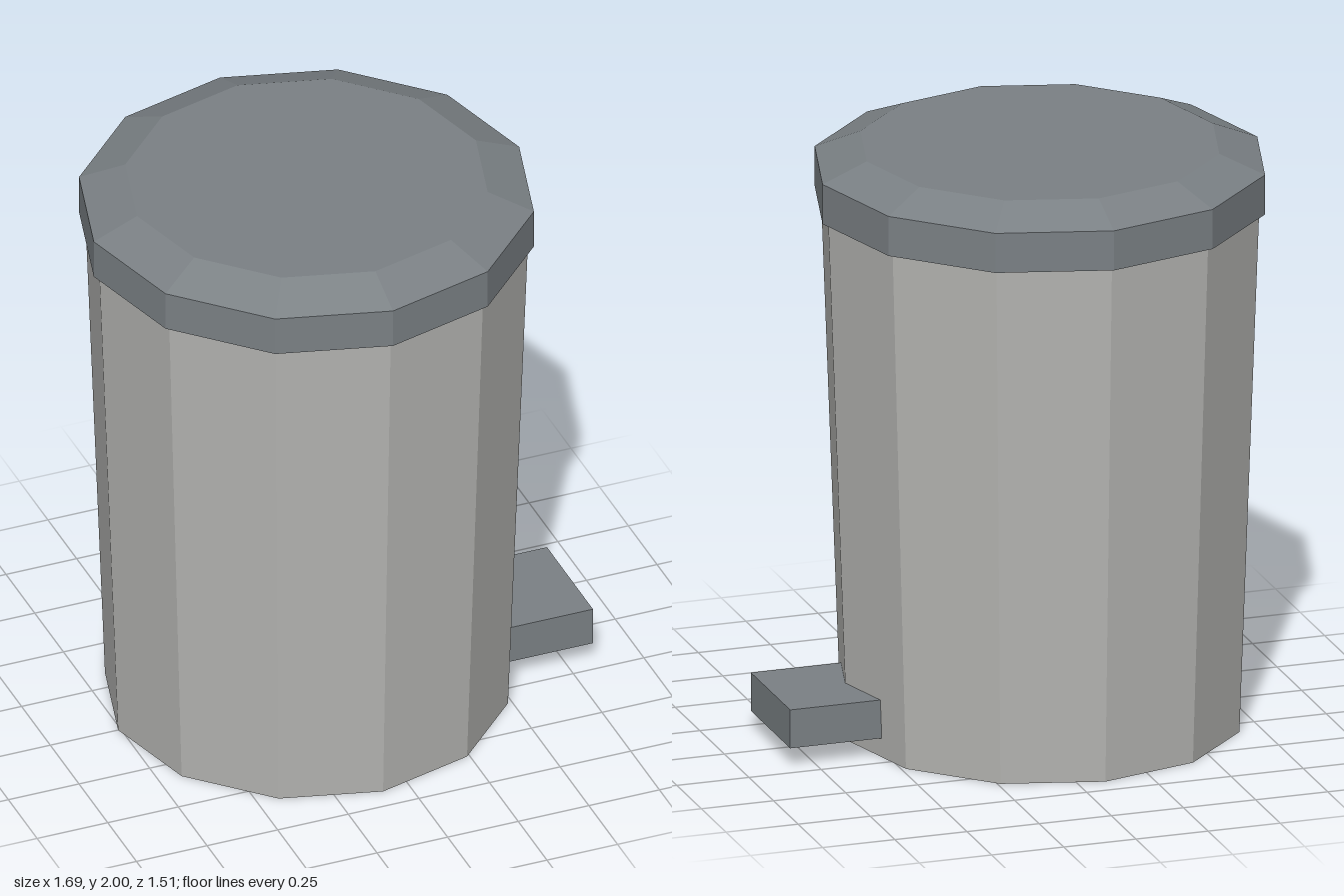
import * as THREE from 'three';

export function createModel() {
  const group = new THREE.Group();
  const SIDES = 12;
  const CENTRE_X = -0.093; // the bin sits off-centre to make room for the pedal

  const bodyMat = new THREE.MeshStandardMaterial({ color: 0xb4b4b1, flatShading: true });
  bodyMat.name = 'light grey';
  const trimMat = new THREE.MeshStandardMaterial({ color: 0x7a8084, flatShading: true });
  trimMat.name = 'slate grey';

  const add = (name, geometry, material, x, y, z = 0) => {
    const mesh = new THREE.Mesh(geometry, material);
    mesh.name = name;
    mesh.position.set(x, y, z);
    group.add(mesh);
  };

  // Tapered bin body with a closed base
  add('body', new THREE.CylinderGeometry(0.733, 0.667, 1.803, SIDES), bodyMat, CENTRE_X, 0.9015);

  // Lid: underside, upright rim, bevel and flat top
  const profile = [[0, 0], [0.753, 0], [0.753, 0.137], [0.6, 0.2], [0, 0.2]]
    .map(([r, y]) => new THREE.Vector2(r, y));
  add('lid', new THREE.LatheGeometry(profile, SIDES), trimMat, CENTRE_X, 1.8);

  // Foot pedal, sunk into the body wall
  add('pedal', new THREE.BoxGeometry(0.4, 0.133, 0.4), trimMat, 0.64, 0.1335);

  return group;
}
